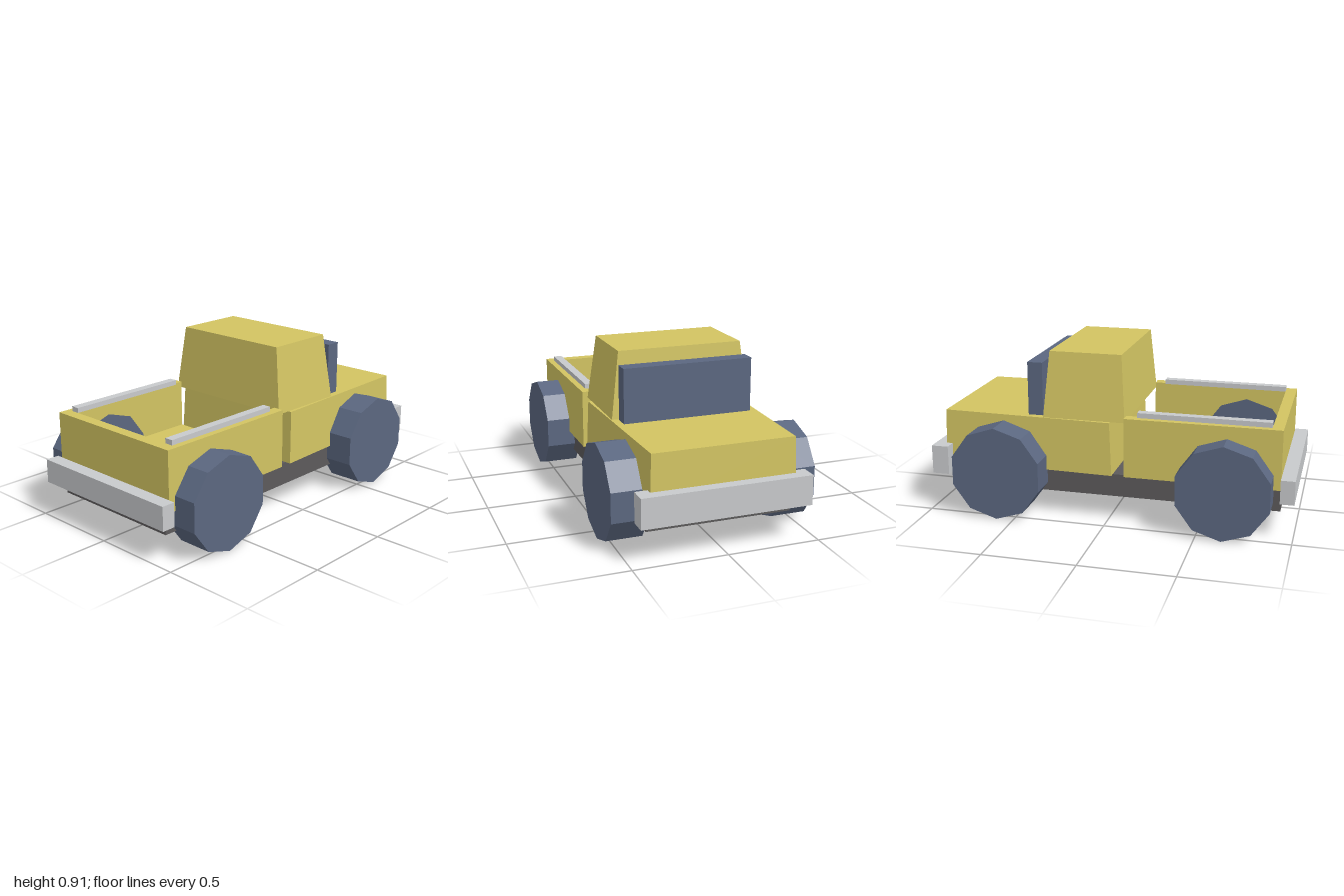
import * as THREE from 'three';

const mat = (name, color, flatShading = true) =>
  new THREE.MeshStandardMaterial({ name, color, flatShading });

export function createModel() {
  const truck = new THREE.Group();
  truck.name = 'pickupTruck';

  const yellow = mat('yellowPaint', 0xd2c462);
  const slate = mat('slateRubberAndGlass', 0x5b6780);
  const silver = mat('silverTrim', 0xc8cacc);
  const dark = mat('darkChassis', 0x5c5a5b);

  function add(name, geometry, material) {
    const mesh = new THREE.Mesh(geometry, material);
    mesh.name = name;
    truck.add(mesh);
    return mesh;
  }

  // Box given by its extents on each axis
  function box(name, material, x0, x1, y0, y1, z0, z1) {
    const g = new THREE.BoxGeometry(x1 - x0, y1 - y0, z1 - z0);
    g.translate((x0 + x1) / 2, (y0 + y1) / 2, (z0 + z1) / 2);
    return add(name, g, material);
  }

  // Tapered block: bottom and top are [rear x, front x, rear half width, front half width]
  function block(name, material, y0, y1, bottom, top) {
    const g = new THREE.BoxGeometry(1, 1, 1);
    const p = g.attributes.position;
    for (let i = 0; i < p.count; i++) {
      const up = p.getY(i) > 0;
      const row = up ? top : bottom;
      const end = p.getX(i) > 0 ? 1 : 0;
      p.setXYZ(i, row[end], up ? y1 : y0, Math.sign(p.getZ(i)) * row[2 + end]);
    }
    g.computeVertexNormals();
    return add(name, g, material);
  }

  // Chassis and bumpers
  box('chassis', dark, -0.925, 0.885, 0.135, 0.26, -0.39, 0.39);
  box('frontBumper', silver, 0.905, 1, 0.2, 0.36, -0.455, 0.455);
  box('rearBumper', silver, -1, -0.925, 0.2, 0.33, -0.455, 0.455);

  // Hood, cab and windshield
  block('hood', yellow, 0.26, 0.552, [-0.022, 0.943, 0.42, 0.39], [-0.008, 0.935, 0.41, 0.38]);
  block('cab', yellow, 0.552, 0.91, [-0.088, 0.366, 0.391, 0.391], [-0.06, 0.337, 0.344, 0.344]);
  box('windshield', slate, 0.377, 0.46, 0.55, 0.845, -0.356, 0.356);

  // Open cargo bed
  box('bedFloor', yellow, -0.925, -0.09, 0.26, 0.32, -0.36, 0.36);
  box('tailgate', yellow, -0.925, -0.865, 0.32, 0.585, -0.36, 0.36);
  for (const [side, s] of [['left', -1], ['right', 1]]) {
    box(side + 'BedWall', yellow, -0.925, -0.09, 0.26, 0.585,
      Math.min(s * 0.36, s * 0.42), Math.max(s * 0.36, s * 0.42));
    box(side + 'BedRail', silver, -0.865, -0.155, 0.585, 0.612,
      Math.min(s * 0.338, s * 0.385), Math.max(s * 0.338, s * 0.385));

    // Ten-sided wheels
    for (const [end, x] of [['Rear', -0.64], ['Front', 0.593]]) {
      const g = new THREE.CylinderGeometry(0.258, 0.258, 0.193, 10);
      g.rotateX(Math.PI / 2);
      add(side + end + 'Wheel', g, slate).position.set(x, 0.26, s * 0.4555);
    }
  }

  return truck;
}
